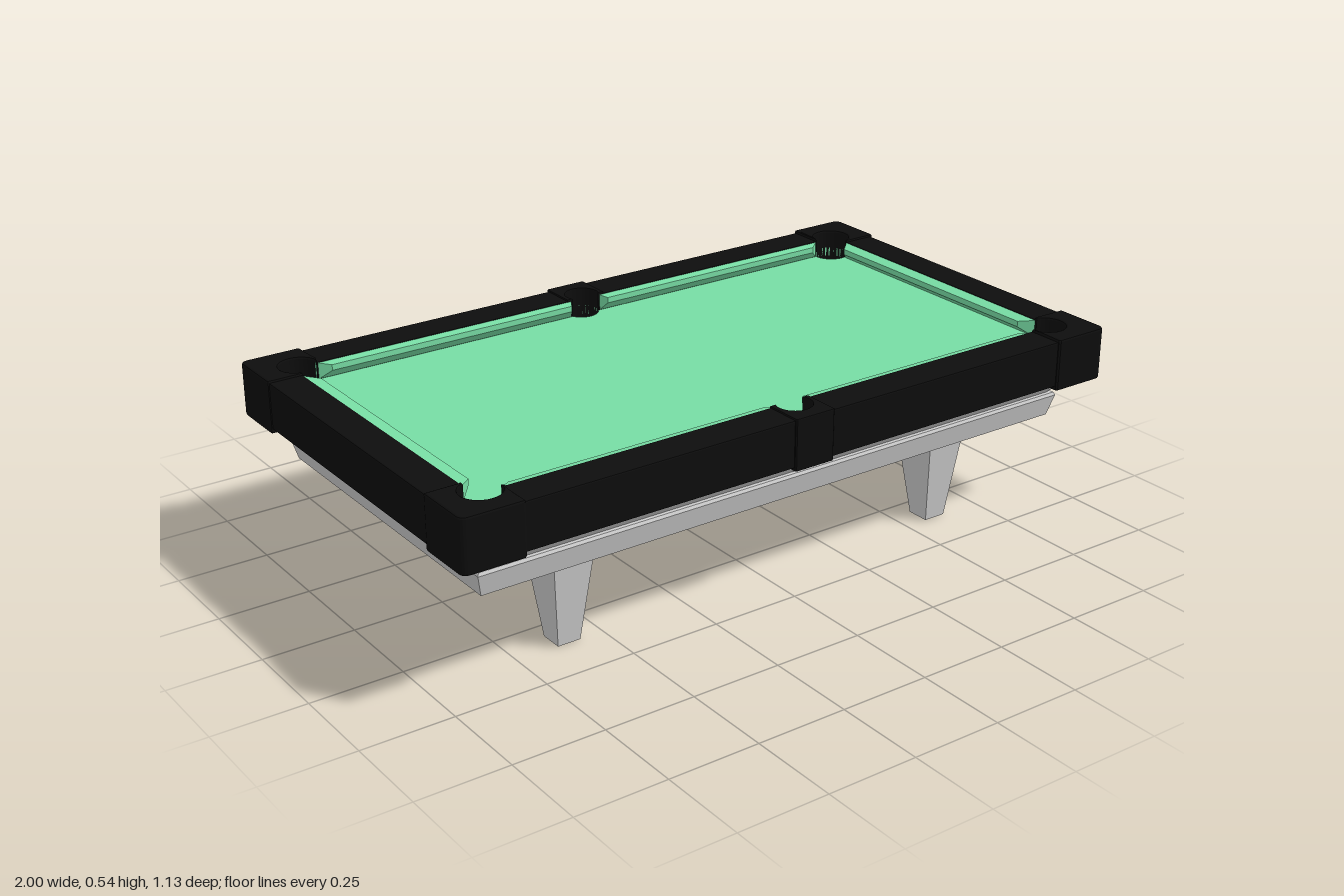
import * as THREE from 'three';
import { ConvexGeometry } from 'three/addons/geometries/ConvexGeometry.js';

const grey = new THREE.MeshStandardMaterial({ color: 0xcccccc, flatShading: true });
const black = new THREE.MeshStandardMaterial({ color: 0x0d0d0d, flatShading: true });
const liner = new THREE.MeshStandardMaterial({ color: 0x0d0d0d, side: THREE.DoubleSide });
const green = new THREE.MeshStandardMaterial({ color: 0x77dca4, flatShading: true });

const BED = 0.48;
const CORNER = { x: 0.885, z: 0.458, r: 0.053 };
const MIDDLE = { x: 0, z: 0.48, r: 0.047 };
const SIGNS = [-1, 1];

function mesh(name, geometry, material) {
  const m = new THREE.Mesh(geometry, material);
  m.name = name;
  return m;
}

// Points along a pocket's arc, angles in degrees in the x-z plane
function arc(p, from, to, steps = 20) {
  return Array.from({ length: steps + 1 }, (_, i) => {
    const a = THREE.MathUtils.degToRad(from + (to - from) * i / steps);
    return [p.x + p.r * Math.cos(a), p.z + p.r * Math.sin(a)];
  });
}

// Upright prism with an x-z outline, from y0 to y1, with softened edges
function slab(points, y0, y1, bevel = 0, holes = [], sx = 1, sz = 1) {
  const path = (list) => list.map(([x, z]) => new THREE.Vector2(x * sx, z * sz));
  const shape = new THREE.Shape(path(points));
  holes.forEach((h) => shape.holes.push(new THREE.Path(path(h))));
  const g = new THREE.ExtrudeGeometry(shape, {
    depth: y1 - y0 - 2 * bevel, bevelEnabled: bevel > 0,
    bevelThickness: bevel, bevelSize: bevel, bevelOffset: -bevel, bevelSegments: 2,
  });
  return g.rotateX(Math.PI / 2).translate(0, y1 - bevel, 0);
}

// Solid through centred rectangles given as [y, halfX, halfZ]
function tiers(levels) {
  const pts = [];
  for (const [y, x, z] of levels)
    for (const sx of SIGNS) for (const sz of SIGNS) pts.push(new THREE.Vector3(sx * x, y, sz * z));
  return new ConvexGeometry(pts);
}

// Cushion with mitred ends: runs between the back and nose spans, place() maps (along, out, y)
function cushion(backSpan, noseSpan, back, nose, place) {
  const pts = [];
  for (const i of [0, 1]) {
    pts.push(place(backSpan[i], back, BED - 0.005), place(backSpan[i], back, 0.526));
    pts.push(place(noseSpan[i], nose, 0.521), place(noseSpan[i], nose, 0.505));
  }
  return new ConvexGeometry(pts);
}

// Two legs joined by a cross beam, tapering in thickness towards the floor
function trestle() {
  const half = [[0.365, 0], [0.4, 0.275], [-0.4, 0.275], [-0.365, 0], [-0.3, 0], [-0.265, 0.2], [0.265, 0.2], [0.3, 0]];
  const shape = new THREE.Shape(half.map(([z, y]) => new THREE.Vector2(z, y)));
  const g = new THREE.ExtrudeGeometry(shape, { depth: 1, bevelEnabled: false });
  g.translate(0, 0, -0.5).rotateY(-Math.PI / 2);
  const p = g.attributes.position;
  for (let i = 0; i < p.count; i++) p.setX(i, p.getX(i) * (0.065 + 0.055 * p.getY(i) / 0.27));
  g.computeVertexNormals();
  return g;
}

export function createModel() {
  const table = new THREE.Group();
  table.name = 'poolTable';

  // Body and legs
  table.add(mesh('apron', tiers([[0.27, 0.9, 0.467], [0.33, 0.915, 0.483], [0.338, 0.911, 0.479]]), grey));
  table.add(mesh('skirt', tiers([[0.335, 0.89, 0.465], [0.402, 0.96, 0.53]]), grey));
  for (const s of SIGNS) {
    const legs = mesh('legPair', trestle(), grey);
    legs.position.x = s * 0.6;
    table.add(legs);
  }

  // Playing bed with six pocket holes
  const pockets = [];
  for (const sz of SIGNS) {
    pockets.push({ ...MIDDLE, z: sz * MIDDLE.z });
    for (const sx of SIGNS) pockets.push({ ...CORNER, x: sx * CORNER.x, z: sz * CORNER.z });
  }
  const holes = pockets.map((p) => arc(p, 0, 350, 35));
  const sheet = [[-0.95, -0.54], [0.95, -0.54], [0.95, 0.54], [-0.95, 0.54]];
  table.add(mesh('bed', slab(sheet, 0.455, BED, 0, holes), green));
  for (const p of pockets) {
    const tube = mesh('pocketLiner', new THREE.CylinderGeometry(p.r, p.r, 0.078, 36, 1, true), liner);
    tube.position.set(p.x, 0.44, p.z);
    table.add(tube);
  }

  // Outlines of the rails and pocket castings
  const longRail = [[0.05, 0.46], [0.832, 0.46], [0.832, 0.56], [0.05, 0.56]];
  const endRail = [[0.9, -0.406], [0.995, -0.406], [0.995, 0.406], [0.9, 0.406]];
  const cornerCap = [
    ...arc(CORNER, 178, -73),
    [0.9, 0.4], [0.998, 0.4], [1, 0.405],
    ...arc({ x: 0.98, z: 0.546, r: 0.02 }, 0, 90, 5),
    [0.835, 0.566], [0.83, 0.562],
  ];
  const middleCap = [
    ...arc(MIDDLE, 205, -25),
    [0.06, 0.46], [0.06, 0.563], [0.057, 0.566], [-0.057, 0.566], [-0.06, 0.563], [-0.06, 0.46],
  ];

  for (const sz of SIGNS) {
    table.add(mesh('middlePocketCap', slab(middleCap, 0.392, 0.533, 0.003, [], 1, sz), black));
    for (const sx of SIGNS) {
      table.add(mesh('longRail', slab(longRail, 0.4, 0.528, 0.004, [], sx, sz), black));
      table.add(mesh('cornerPocketCap', slab(cornerCap, 0.388, 0.535, 0.006, [], sx, sz), black));
      table.add(mesh('longCushion', cushion([0.045, 0.835], [0.06, 0.8], 0.465, 0.437,
        (a, o, y) => new THREE.Vector3(sx * a, y, sz * o)), green));
    }
  }
  for (const sx of SIGNS) {
    table.add(mesh('endRail', slab(endRail, 0.4, 0.528, 0.004, [], sx, 1), black));
    table.add(mesh('endCushion', cushion([-0.405, 0.405], [-0.37, 0.37], 0.904, 0.865,
      (a, o, y) => new THREE.Vector3(sx * o, y, a)), green));
  }
  return table;
}
